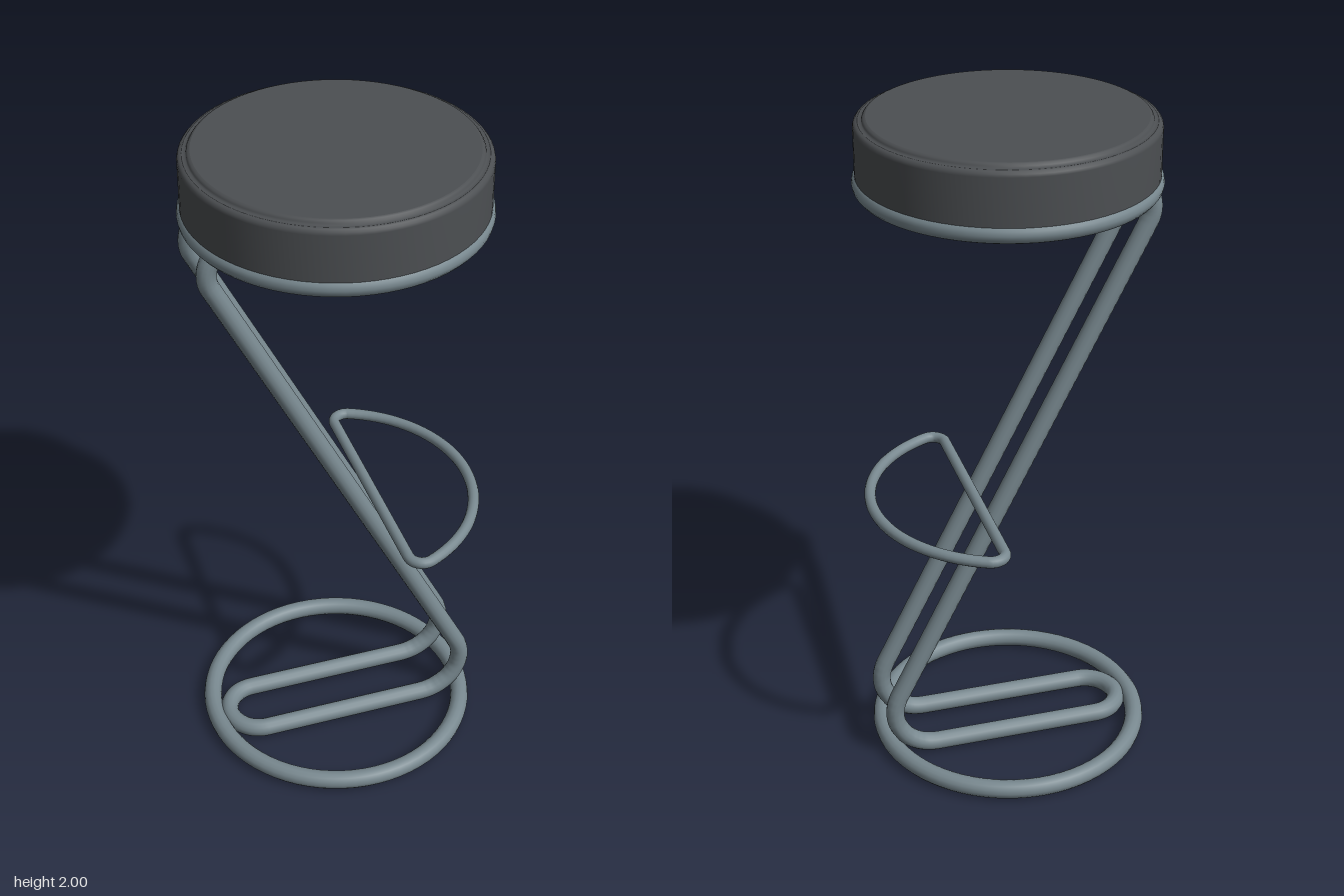
import * as THREE from 'three';

const metal = new THREE.MeshStandardMaterial({ color: 0x78888f });
metal.name = 'steel grey';
const vinyl = new THREE.MeshStandardMaterial({ color: 0x4c4f52 });
vinyl.name = 'charcoal vinyl';

const BASE_Y = 0.028, RING_Y = 1.817, TUBE = 0.028;

function addMesh(group, name, geometry, material) {
  const mesh = new THREE.Mesh(geometry, material);
  mesh.name = name;
  group.add(mesh);
  return mesh;
}

// closed tube through a list of points
function closedTube(points, radius, segments) {
  const path = new THREE.CurvePath();
  path.arcLengthDivisions = 1000;
  points.forEach((p, i) => {
    const q = points[(i + 1) % points.length];
    if (p.distanceTo(q) > 1e-4) path.add(new THREE.LineCurve3(p, q));
  });
  return new THREE.TubeGeometry(path, segments, radius, 14, true);
}

// replaces each corner [x, y, z, radius] of a closed loop with a true arc
function roundCorners(corners, steps = 14) {
  const v = corners.map(([x, y, z]) => new THREE.Vector3(x, y, z));
  const out = [];
  v.forEach((p, i) => {
    const r = corners[i][3];
    const a = v[(i + v.length - 1) % v.length].clone().sub(p).normalize();
    const b = v[(i + 1) % v.length].clone().sub(p).normalize();
    const half = a.angleTo(b) / 2;
    const mid = a.clone().add(b).normalize();
    const centre = p.clone().addScaledVector(mid, r / Math.sin(half));
    const side = b.clone().sub(a).normalize();
    const sweep = Math.PI / 2 - half;
    for (let k = 0; k <= steps; k++) {
      const t = sweep * (2 * k / steps - 1);
      out.push(centre.clone()
        .addScaledVector(mid, -r * Math.cos(t))
        .addScaledVector(side, r * Math.sin(t)));
    }
  });
  return out;
}

function ring(y) {
  return new THREE.TorusGeometry(0.399, TUBE, 14, 72).rotateX(Math.PI / 2).translate(0, y, 0);
}

export function createModel() {
  const group = new THREE.Group();
  group.name = 'barStool';

  // floor ring and seat ring
  addMesh(group, 'baseRing', ring(BASE_Y), metal);
  addMesh(group, 'seatRing', ring(RING_Y), metal);

  // Z-shaped frame: one continuous bent tube with a U at each end
  const half = [
    [-0.355, BASE_Y, 0.095, 0.095],
    [0.468, BASE_Y, 0.095, 0.13],
    [-0.445, RING_Y, 0.095, 0.09],
    [0.325, RING_Y, 0.095, 0.095],
  ];
  const mirrored = half.map(([x, y, z, r]) => [x, y, -z, r]).reverse();
  addMesh(group, 'frame', closedTube(roundCorners([...half, ...mirrored]), TUBE, 600), metal);

  // D-shaped footrest: big front arc, two tight corners, straight bar
  const R = 0.41, r = 0.04, barX = 0.107, footY = 0.835;
  const cx = barX + r, cz = Math.sqrt((R - r) ** 2 - cx ** 2);
  const end = Math.atan2(cz, cx);
  const foot = [];
  const arc = (x, z, radius, from, to, n) => {
    for (let i = 0; i <= n; i++) {
      const t = from + (to - from) * i / n;
      foot.push(new THREE.Vector3(x + radius * Math.cos(t), footY, z + radius * Math.sin(t)));
    }
  };
  arc(0, 0, R, -end, end, 40);
  arc(cx, cz, r, end, Math.PI, 10);
  arc(cx, -cz, r, Math.PI, 2 * Math.PI - end, 10);
  addMesh(group, 'footrest', closedTube(foot, 0.017, 200), metal);

  // round cushion: side wall, rounded shoulder and raised top panel
  const wall = [[0.418, 1.835], [0.418, 1.972], [0.416, 1.98], [0.411, 1.986], [0.404, 1.988]];
  const lip = [[0.404, 1.988], [0.394, 1.987], [0.392, 1.993], [0.388, 1.998], [0.382, 2.0]];
  const lathe = (pts) => new THREE.LatheGeometry(pts.map((p) => new THREE.Vector2(...p)), 72);
  addMesh(group, 'cushionSide', lathe(wall), vinyl);
  addMesh(group, 'cushionRim', lathe(lip), vinyl);
  addMesh(group, 'cushionTop', new THREE.CircleGeometry(0.382, 72).rotateX(-Math.PI / 2).translate(0, 2, 0), vinyl);
  addMesh(group, 'cushionUnderside', new THREE.CircleGeometry(0.418, 72).rotateX(Math.PI / 2).translate(0, 1.835, 0), vinyl);

  return group;
}
